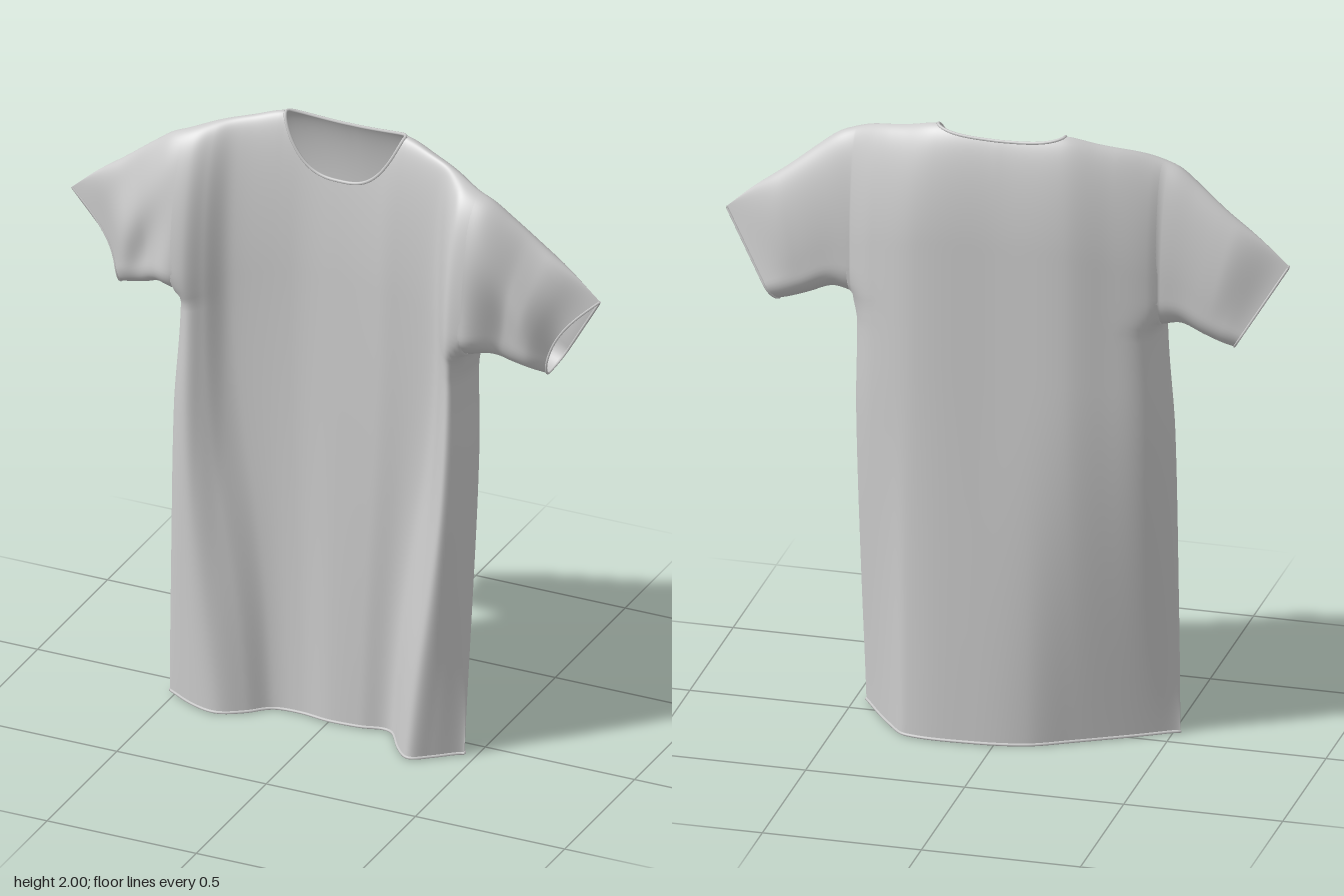
import * as THREE from 'three';
import { mergeVertices } from 'three/addons/utils/BufferGeometryUtils.js';

const { clamp, lerp, smoothstep } = THREE.MathUtils;

// Smooth curve through [x, value] points
function curve(pts) {
  const slope = (i) => {
    const a = pts[Math.max(i - 1, 0)], b = pts[Math.min(i + 1, pts.length - 1)];
    return (b[1] - a[1]) / (b[0] - a[0]);
  };
  return (x) => {
    x = clamp(x, pts[0][0], pts[pts.length - 1][0]);
    let i = 0;
    while (i < pts.length - 2 && x > pts[i + 1][0]) i++;
    const [x0, y0] = pts[i], [x1, y1] = pts[i + 1];
    const h = x1 - x0, t = (x - x0) / h, t2 = t * t, t3 = t2 * t;
    return y0 * (2 * t3 - 3 * t2 + 1) + y1 * (3 * t2 - 2 * t3)
      + h * (slope(i) * (t3 - 2 * t2 + t) + slope(i + 1) * (t3 - t2));
  };
}

const ARMPIT = 1.38, ARM_X = 0.49, NECK = 0.2, PIT_RADIUS = 0.1;

// Shoulder outline, shoulder ridge depth, and hanging folds of front and back
const shoulder = curve([[0, 1.995], [0.2, 1.995], [0.3, 1.97], [0.4, 1.945], [0.49, 1.912], [0.54, 1.89],
  [0.6, 1.845], [0.7, 1.765], [0.8, 1.69], [0.89, 1.61]]);
const ridge = curve([[0, -0.08], [0.2, -0.07], [0.35, -0.03], [0.5, 0.02], [0.7, 0.005], [0.89, 0]]);
const frontFolds = curve([[-0.525, 0.08], [-0.42, 0.132], [-0.33, 0.15], [-0.25, 0.108], [-0.19, 0.055], [-0.1, 0.043],
  [0, 0.055], [0.1, 0.05], [0.2, 0.038], [0.27, 0.13], [0.32, 0.172], [0.38, 0.138], [0.465, 0.07]]);
const backHem = curve([[-0.52, 0.08], [-0.23, -0.08], [-0.1, -0.148], [0.08, -0.176], [0.28, -0.167],
  [0.34, -0.105], [0.465, 0.06]]);
const backChest = curve([[-0.52, -0.05], [-0.46, -0.09], [-0.35, -0.125], [-0.22, -0.16], [0, -0.162],
  [0.25, -0.162], [0.4, -0.11], [0.48, -0.065]]);
// Which hem fold a point at chest height hangs into, and how fully by height
const chestToHem = curve([[0, 0], [0.2, 0.13], [0.34, 0.2], [0.4, 0.255], [0.45, 0.315], [0.52, 0.35]]);
const fan = curve([[0, 0], [0.3, 0.25], [0.6, 0.55], [0.9, 0.82], [1.2, 0.97], [1.5, 1], [2, 1]]);
const sideLeft = curve([[0, 0.465], [0.4, 0.475], [1, 0.48], [1.3, 0.475], [1.38, ARM_X], [2, ARM_X]]);
const sideRight = curve([[0, 0.522], [0.4, 0.52], [1, 0.512], [1.25, 0.495], [1.38, ARM_X], [2, ARM_X]]);
const underarm = curve([[0.49, 1.38], [0.55, 1.39], [0.62, 1.365], [0.68, 1.345], [0.72, 1.335]]);
const sleeveFront = curve([[0, 0.13], [0.4, 0.1], [0.75, 0.08], [1, 0.035]]);
const sleeveBack = curve([[0, -0.06], [0.5, -0.068], [0.8, -0.067], [1, -0.06]]);

// Quarter-round rise from 0 at an edge to 1 at distance r
const round = (d, r) => Math.sqrt(Math.max(0, 1 - (1 - clamp(d / r, 0, 1)) ** 2));
const topRadius = (back) => (back ? 0.36 : 0.5);

// The front folds fan outward with height, the back flattens toward the chest
function clothDepth(x, y, back) {
  if (back) return lerp(backHem(x), backChest(x), smoothstep(y, -0.3, 1.2) * 1.07 - 0.07);
  const dip = 0.06 * (y / 1.8) * Math.exp(-((x / 0.25) ** 2));
  return frontFolds(lerp(x, Math.sign(x) * chestToHem(Math.abs(x)), fan(y))) - dip;
}

// Torso point: s runs across from -1 to 1, v from hem to shoulder or neckline
function torsoPoint(s, v, back) {
  const xTop = s * ARM_X, n = Math.min(Math.abs(xTop) / NECK, 1);
  let top = shoulder(Math.abs(xTop));
  if (n < 1) top -= back ? 0.022 * (1 - n ** 4) : 0.175 * (1 - n ** 3);
  const y = 0.008 + v * (top - 0.008);
  const x = s * (s > 0 ? sideLeft(y) : sideRight(y));
  const flank = Math.sqrt(Math.max(0, 1 - Math.abs(s) ** 14));
  const close = 1 - (1 - flank) * (1 - round(y - ARMPIT, PIT_RADIUS));
  const k = close * round(shoulder(Math.abs(xTop)) - y, topRadius(back));
  const mid = lerp(0.075, ridge(Math.abs(x)), smoothstep(y, 0, 1.3));
  return new THREE.Vector3(x, y, mid + (clothDepth(x, y, back) - mid) * k);
}

// Sleeve point: t runs from just inside the armhole to the cuff, v from underarm to upper edge
function sleevePoint(t, v, back, side) {
  const tx = lerp(ARM_X - 0.008, 0.885, t), bx = lerp(ARM_X - 0.008, 0.715, t);
  const ty = shoulder(tx), by = underarm(bx);
  const len = Math.hypot(tx - bx, ty - by), scale = len / 0.532;
  const y = lerp(by, ty, v);
  let x = lerp(bx, tx, v);
  if (!back) x -= 0.045 * Math.sin(Math.PI * v) * t * t;
  // The rounded upper edge flattens to a wedge at the cuff
  const upper = lerp(round((1 - v) * len, topRadius(back) * scale), Math.min(1, (1 - v) * 1.25), smoothstep(t, 0.6, 1));
  const k = upper * round(v * len, PIT_RADIUS * scale);
  const root = clothDepth(side * Math.min(x, ARM_X), y, back);
  const depth = lerp(root, (back ? sleeveBack : sleeveFront)(t), smoothstep(t, 0, 0.45));
  const mid = ridge(x);
  const crease = back ? 0 : 0.012 * Math.sin(v * 9 + t * 5) * Math.sin(Math.PI * t);
  return new THREE.Vector3(side * x, y, mid + (depth - mid + crease) * k);
}

// Front and back sheets joined along their shared edges
function sheets(point, nu, nv, mirrored) {
  const pos = [], index = [];
  for (const back of [false, true]) {
    const base = pos.length / 3;
    for (let j = 0; j <= nv; j++)
      for (let i = 0; i <= nu; i++) pos.push(...point(i / nu, j / nv, back).toArray());
    for (let j = 0; j < nv; j++)
      for (let i = 0; i < nu; i++) {
        const a = base + j * (nu + 1) + i, b = a + 1, c = a + nu + 1, d = c + 1;
        if (back !== mirrored) index.push(a, c, b, b, c, d);
        else index.push(a, b, c, b, d, c);
      }
  }
  let g = new THREE.BufferGeometry();
  g.setAttribute('position', new THREE.Float32BufferAttribute(pos, 3));
  g.setIndex(index);
  g = mergeVertices(g, 1e-4);
  g.computeVertexNormals();
  return g;
}

// Stitched rim following an open edge of the cloth, front then back
function rim(point, n, radius) {
  const pts = [];
  for (let i = 0; i < n; i++) pts.push(point(i / n, false));
  for (let i = n; i > 0; i--) pts.push(point(i / n, true));
  return new THREE.TubeGeometry(new THREE.CatmullRomCurve3(pts, true), n * 4, radius, 6, true);
}

export function createModel() {
  const shirt = new THREE.Group();
  shirt.name = 'shirt';
  const cloth = new THREE.MeshStandardMaterial({ color: 0xcccccc, side: THREE.DoubleSide });
  cloth.name = 'grey cloth';
  const add = (name, geometry) => {
    const mesh = new THREE.Mesh(geometry, cloth);
    mesh.name = name;
    shirt.add(mesh);
  };
  const ease = (w) => Math.sin(w * Math.PI / 2);
  const across = (u) => ease(2 * u - 1);

  // Body with hem and collar
  add('body', sheets((u, w, back) => torsoPoint(across(u), ease(w), back), 130, 90, false));
  add('hem', rim((u, back) => torsoPoint(across(u), 0, back), 60, 0.005));
  const neck = NECK / ARM_X;
  add('collar', rim((u, back) => torsoPoint(neck * across(u), 1, back), 24, 0.005));

  // Sleeves with cuffs
  for (const side of [1, -1]) {
    const label = side > 0 ? 'left' : 'right';
    const around = (w) => (1 - Math.cos(w * Math.PI)) / 2;
    add(label + 'Sleeve', sheets((t, w, back) => sleevePoint(t, around(w), back, side), 36, 40, side < 0));
    add(label + 'Cuff', rim((w, back) => sleevePoint(1, around(w), back, side), 20, 0.004));
  }
  return shirt;
}
